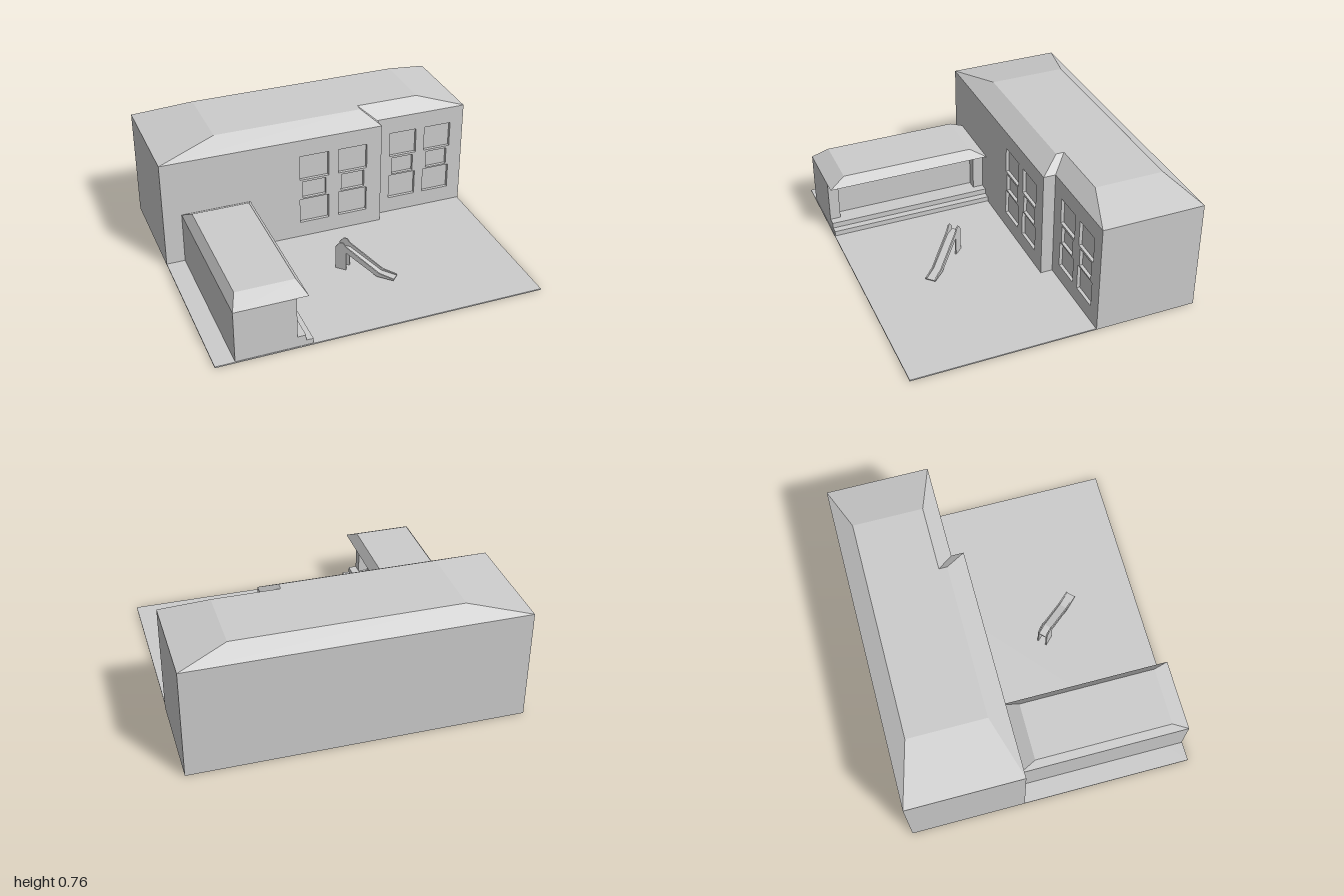
import * as THREE from 'three';

const material = new THREE.MeshStandardMaterial({ color: 0xcccccc, flatShading: true });

function add(parent, name, geometry) {
  const mesh = new THREE.Mesh(geometry, material);
  mesh.name = name;
  parent.add(mesh);
  return mesh;
}

function addGroup(parent, name) {
  const group = new THREE.Group();
  group.name = name;
  parent.add(group);
  return group;
}

// Box given by its minimum and maximum on each axis
function box(x0, x1, y0, y1, z0, z1) {
  return new THREE.BoxGeometry(x1 - x0, y1 - y0, z1 - z0)
    .translate((x0 + x1) / 2, (y0 + y1) / 2, (z0 + z1) / 2);
}

function polygon(points) {
  return new THREE.Shape(points.map(([x, y]) => new THREE.Vector2(x, y)));
}

function extrude(shape, depth) {
  return new THREE.ExtrudeGeometry(shape, { depth, bevelEnabled: false });
}

// Hipped roof between two matching [x, z] outlines, anticlockwise from above
function hipRoof(eave, y0, top, y1) {
  const n = eave.length;
  const position = [];
  eave.forEach(([x, z]) => position.push(x, y0, z));
  top.forEach(([x, z]) => position.push(x, y1, z));
  const index = [];
  for (let i = 0; i < n; i++) {
    const j = (i + 1) % n;
    index.push(i, j, n + j, i, n + j, n + i);
  }
  const flat = (outline) => outline.map(([x, z]) => new THREE.Vector2(x, -z));
  for (const [a, b, c] of THREE.ShapeUtils.triangulateShape(flat(top), [])) index.push(n + a, n + b, n + c);
  for (const [a, b, c] of THREE.ShapeUtils.triangulateShape(flat(eave), [])) index.push(a, c, b);
  const geometry = new THREE.BufferGeometry();
  geometry.setAttribute('position', new THREE.Float32BufferAttribute(position, 3));
  geometry.setIndex(index);
  const faceted = geometry.toNonIndexed();
  faceted.computeVertexNormals();
  return faceted;
}

const BASE = 0.005;
const EAVE = 0.69;
const RECESS = 0.02;

// Wall panel pierced by columns of three windows, the middle one smaller
function windowWall(x0, x1, zFront, columns) {
  const wall = polygon([[x0, BASE], [x1, BASE], [x1, EAVE], [x0, EAVE]]);
  for (const [a, b] of columns) {
    for (const [inset, low, high] of [[0, 0.11, 0.275], [0.018, 0.285, 0.4], [0, 0.415, 0.58]]) {
      wall.holes.push(polygon([[a + inset, low], [a + inset, high], [b - inset, high], [b - inset, low]]));
    }
  }
  return extrude(wall, RECESS).translate(0, 0, zFront - RECESS);
}

function buildMainBuilding(parent) {
  const building = addGroup(parent, 'mainBuilding');
  add(building, 'leftBlock', box(-1, 0.405, BASE, EAVE, -0.87, -0.17 - RECESS));
  add(building, 'rightBlock', box(0.405, 1, BASE, EAVE, -0.87, -0.245 - RECESS));
  add(building, 'projectingWindowWall', windowWall(-1, 0.405, -0.17, [[-0.135, 0.055], [0.12, 0.308]]));
  add(building, 'setBackWindowWall', windowWall(0.405, 1, -0.245, [[0.495, 0.675], [0.733, 0.912]]));
  add(building, 'mainRoof', hipRoof(
    [[-1, -0.17], [0.405, -0.17], [0.405, -0.245], [1, -0.245], [1, -0.87], [-1, -0.87]], EAVE,
    [[-0.63, -0.29], [0.31, -0.29], [0.31, -0.34], [0.71, -0.34], [0.71, -0.765], [-0.63, -0.765]], 0.765));
}

function buildWing(parent) {
  const wing = addGroup(parent, 'sideWing');
  const back = -0.17, front = 0.865, wall = -0.525, porch = wall - 0.06;
  add(wing, 'wingWalls', box(-0.885, porch, BASE, 0.335, back, front));
  // Frame around the long recessed porch
  add(wing, 'porchFloor', box(porch, wall, BASE, 0.075, back, front));
  add(wing, 'porchBeam', box(porch, wall, 0.315, 0.335, back, front));
  add(wing, 'porchFrontPier', box(porch, wall, 0.075, 0.315, 0.8, front));
  add(wing, 'porchBackPier', box(porch, wall, 0.075, 0.315, back, -0.105));
  add(wing, 'upperStep', box(wall, -0.475, BASE, 0.075, back, front));
  add(wing, 'lowerStep', box(-0.475, -0.432, BASE, 0.04, back, front));
  add(wing, 'wingRoof', hipRoof(
    [[-0.885, front], [-0.455, front], [-0.455, back], [-0.885, back]], 0.335,
    [[-0.845, 0.765], [-0.495, 0.765], [-0.495, -0.07], [-0.845, -0.07]], 0.392));
}

function buildSlide(parent) {
  const slide = addGroup(parent, 'playgroundSlide');
  const width = 0.064, sheet = 0.008;
  const side = polygon([
    [0, 0], [0.068, 0], [0.068, 0.125], [0.27, 0.012], [0.375, 0.012], [0.375, 0.022],
    [0.285, 0.037], [0.07, 0.165], [0.05, 0.19], [0.027, 0.19], [0, 0.155],
  ]);
  const chute = polygon([
    [0, 0.13], [0.068, 0.13], [0.27, 0.015], [0.375, 0.012],
    [0.375, 0.017], [0.275, 0.026], [0.07, 0.14], [0, 0.14],
  ]);
  for (const s of [-1, 1]) {
    add(slide, s < 0 ? 'slideFarSide' : 'slideNearSide',
      extrude(side, sheet).translate(0, 0, s * (width - sheet) / 2 - sheet / 2));
  }
  add(slide, 'slideChute', extrude(chute, width - 2 * sheet).translate(0, 0, sheet - width / 2));
  slide.position.set(-0.033, BASE, 0.207);
  slide.rotation.y = -Math.PI / 4;
}

export function createModel() {
  const model = new THREE.Group();
  model.name = 'schoolWithYard';
  add(model, 'ground', box(-1, 0.995, 0, 0.008, -0.868, 0.868));
  buildMainBuilding(model);
  buildWing(model);
  buildSlide(model);
  return model;
}
